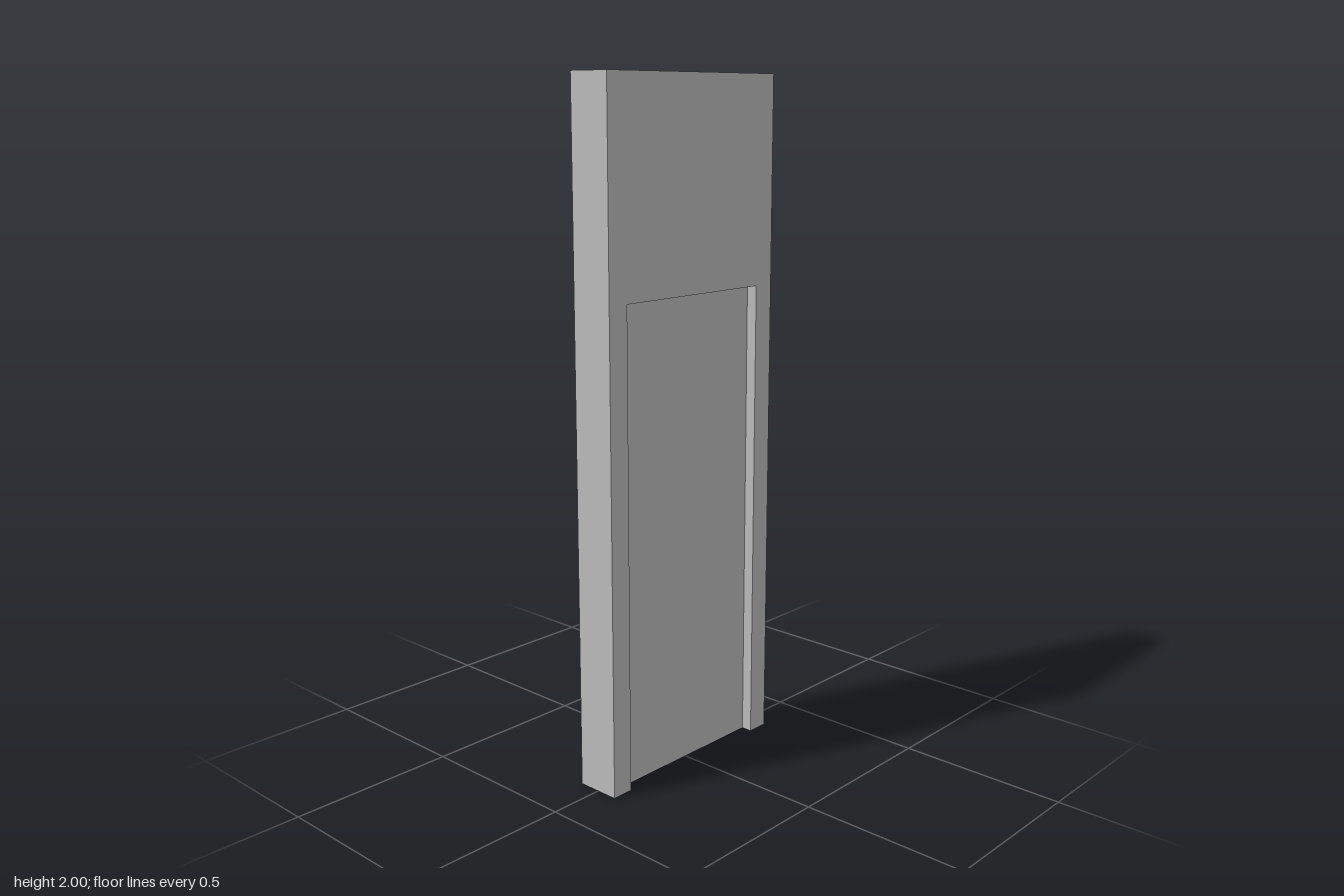
import * as THREE from 'three';

const W = 0.667, H = 2, D = 0.133; // frame size
const OPEN_W = 0.534, OPEN_H = 1.4; // doorway opening
const PANEL_D = 0.067; // door leaf, recessed on both faces

export function createModel() {
  const model = new THREE.Group();
  model.name = 'doorway';
  const grey = new THREE.MeshStandardMaterial({ color: 0xbcbcbc });
  grey.name = 'grey';

  // Surround: jambs and header as one arch-shaped outline
  const w = W / 2, o = OPEN_W / 2;
  const outline = new THREE.Shape([
    [-w, 0], [-o, 0], [-o, OPEN_H], [o, OPEN_H], [o, 0], [w, 0], [w, H], [-w, H],
  ].map(([x, y]) => new THREE.Vector2(x, y)));
  const frameGeometry = new THREE.ExtrudeGeometry(outline, { depth: D, bevelEnabled: false });
  frameGeometry.translate(0, 0, -D / 2);
  const frame = new THREE.Mesh(frameGeometry, grey);
  frame.name = 'doorFrame';

  // Recessed door leaf filling the opening
  const panel = new THREE.Mesh(new THREE.BoxGeometry(OPEN_W, OPEN_H, PANEL_D), grey);
  panel.name = 'doorPanel';
  panel.position.y = OPEN_H / 2;

  model.add(frame, panel);
  return model;
}
